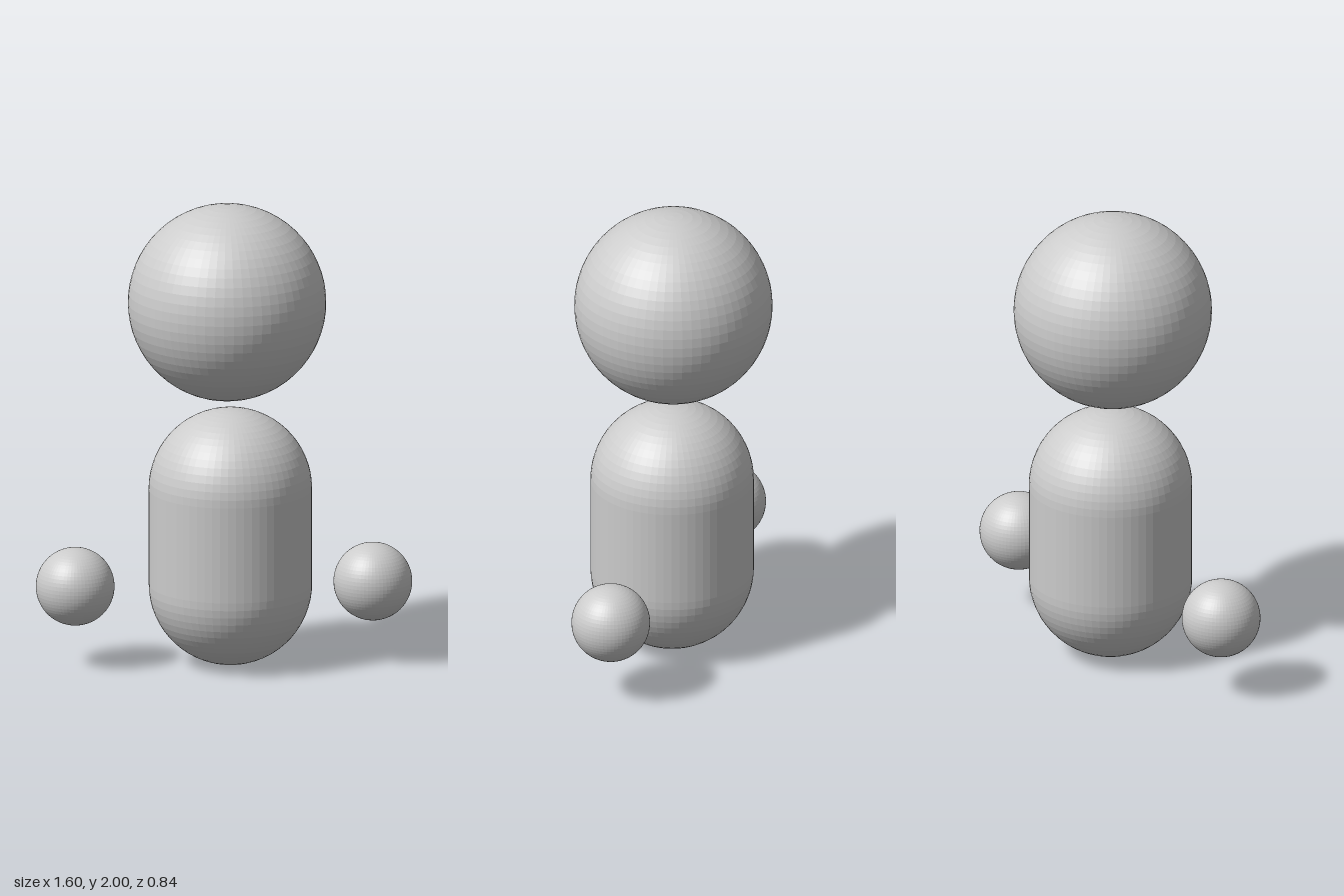
import * as THREE from 'three';

export function createModel() {
  const group = new THREE.Group();
  const material = new THREE.MeshStandardMaterial({ color: 0xcccccc, flatShading: true });

  const add = (name, geometry, x, y, z) => {
    const mesh = new THREE.Mesh(geometry, material);
    mesh.name = name;
    mesh.position.set(x, y, z);
    group.add(mesh);
  };

  // Floating round head
  add('head', new THREE.SphereGeometry(0.421, 64, 32), 0.015, 1.579, 0);

  // Upright capsule body
  const bodyRadius = 0.347, bodyHeight = 1.11;
  add('body', new THREE.CapsuleGeometry(bodyRadius, bodyHeight - 2 * bodyRadius, 16, 64, 1),
    0.029, bodyHeight / 2, 0);

  // Floating hands, mirrored on either side
  for (const [name, side] of [['leftHand', 1], ['rightHand', -1]]) {
    add(name, new THREE.SphereGeometry(0.167, 64, 32), side * 0.633, 0.353, 0.028);
  }

  return group;
}
